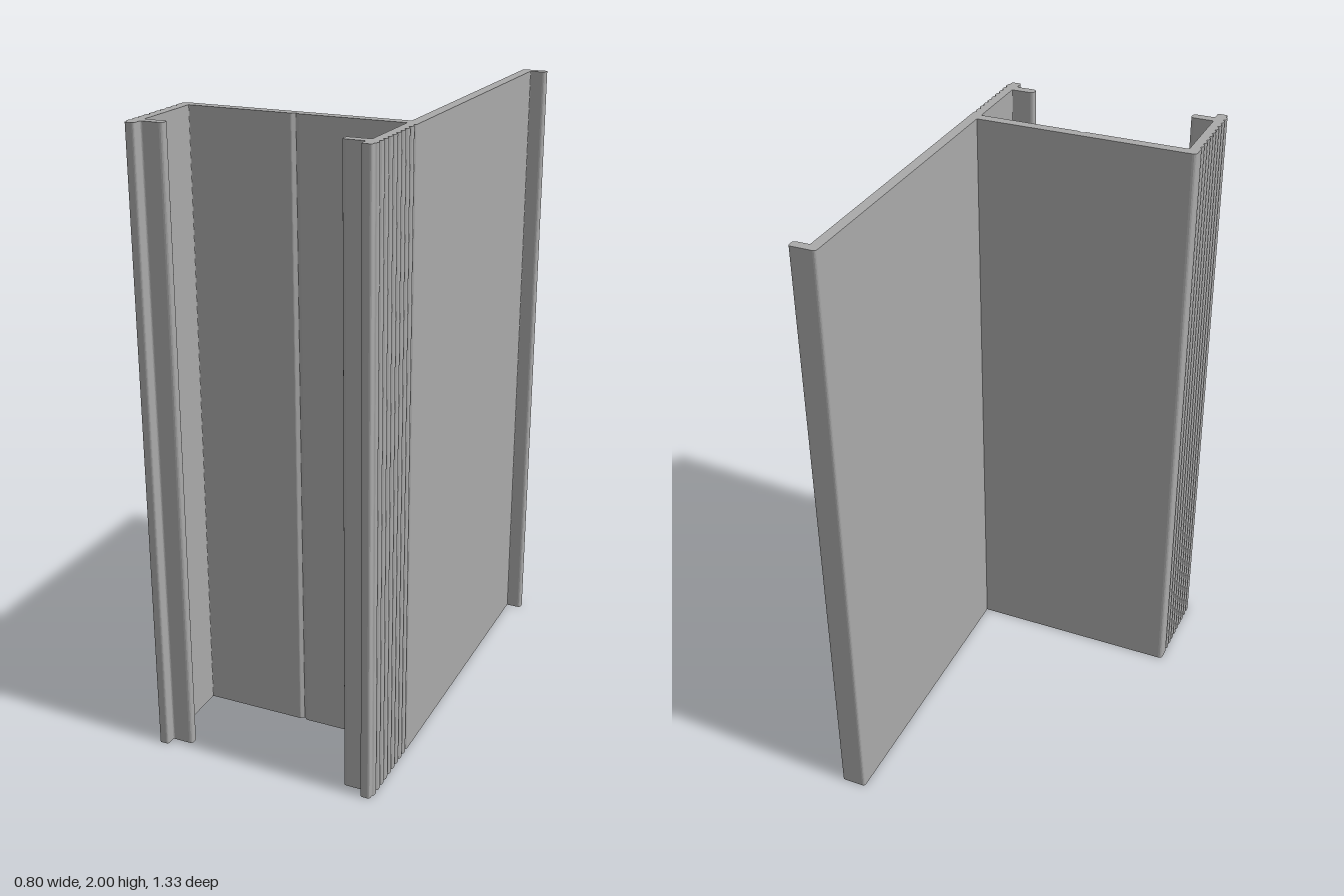
import * as THREE from 'three';

const HEIGHT = 2;
const MID = -0.026; // centre line of the channel in x

// Closed outline from [x, z, cornerRadius] points
function roundedOutline(points) {
  const shape = new THREE.Shape();
  const n = points.length;
  points.forEach(([x, z, r = 0], i) => {
    const p = new THREE.Vector2(x, z);
    const toward = (q) => {
      const d = new THREE.Vector2(q[0], q[1]).sub(p);
      return d.setLength(Math.min(r, d.length() * 0.49)).add(p);
    };
    const a = r ? toward(points[(i + n - 1) % n]) : p;
    if (i === 0) shape.moveTo(a.x, a.y);
    else shape.lineTo(a.x, a.y);
    if (r) {
      const b = toward(points[(i + 1) % n]);
      shape.quadraticCurveTo(p.x, p.y, b.x, b.y);
    }
  });
  shape.closePath();
  return shape;
}

// Channel leg, from the outer ribs round the foot and lip to the inner web corner
function legOutline(side) {
  const pts = [];
  for (let i = 0; i < 9; i++) { // ribbed outer face
    const z = 0.386 + i * 0.0295;
    pts.push([0.375, z - 0.007, 0.003], [0.367, z, 0.002], [0.375, z + 0.007, 0.003]);
  }
  pts.push(
    [0.375, 0.645, 0.004], [0.369, 0.65, 0.003], // foot
    [0.369, 0.667, 0.008], [0.337, 0.667, 0.008],
    [0.337, 0.634, 0.006],
    [0.267, 0.634, 0.012], [0.267, 0.604, 0.012], // inward lip
    [0.3415, 0.604, 0.003], [0.3415, 0.363, 0.003],
  );
  return pts.map(([h, z, r]) => [MID + side * h, z, r]);
}

export function createModel() {
  const model = new THREE.Group();
  model.name = 'extrudedProfile';
  const aluminium = new THREE.MeshStandardMaterial({ color: 0xaaaaaa });
  aluminium.name = 'aluminium grey';

  const outline = [
    // tall fin with its hooked edge
    [0.3155, 0.33], [0.3155, -0.667, 0.01],
    [0.4, -0.667, 0.01], [0.4, -0.637, 0.01],
    [0.349, -0.637, 0.003],
    ...legOutline(1),
    // small V groove in the web
    [MID + 0.011, 0.363, 0.003], [MID, 0.353, 0.003], [MID - 0.011, 0.363, 0.003],
    ...legOutline(-1).reverse(),
    // rounded outer corner of the web
    [MID - 0.375, 0.33, 0.014],
  ];

  const geometry = new THREE.ExtrudeGeometry(roundedOutline(outline), {
    depth: HEIGHT, bevelEnabled: false, curveSegments: 4,
  });
  geometry.rotateX(Math.PI / 2).translate(0, HEIGHT, 0);

  const profile = new THREE.Mesh(geometry, aluminium);
  profile.name = 'channelWithFin';
  model.add(profile);
  return model;
}
